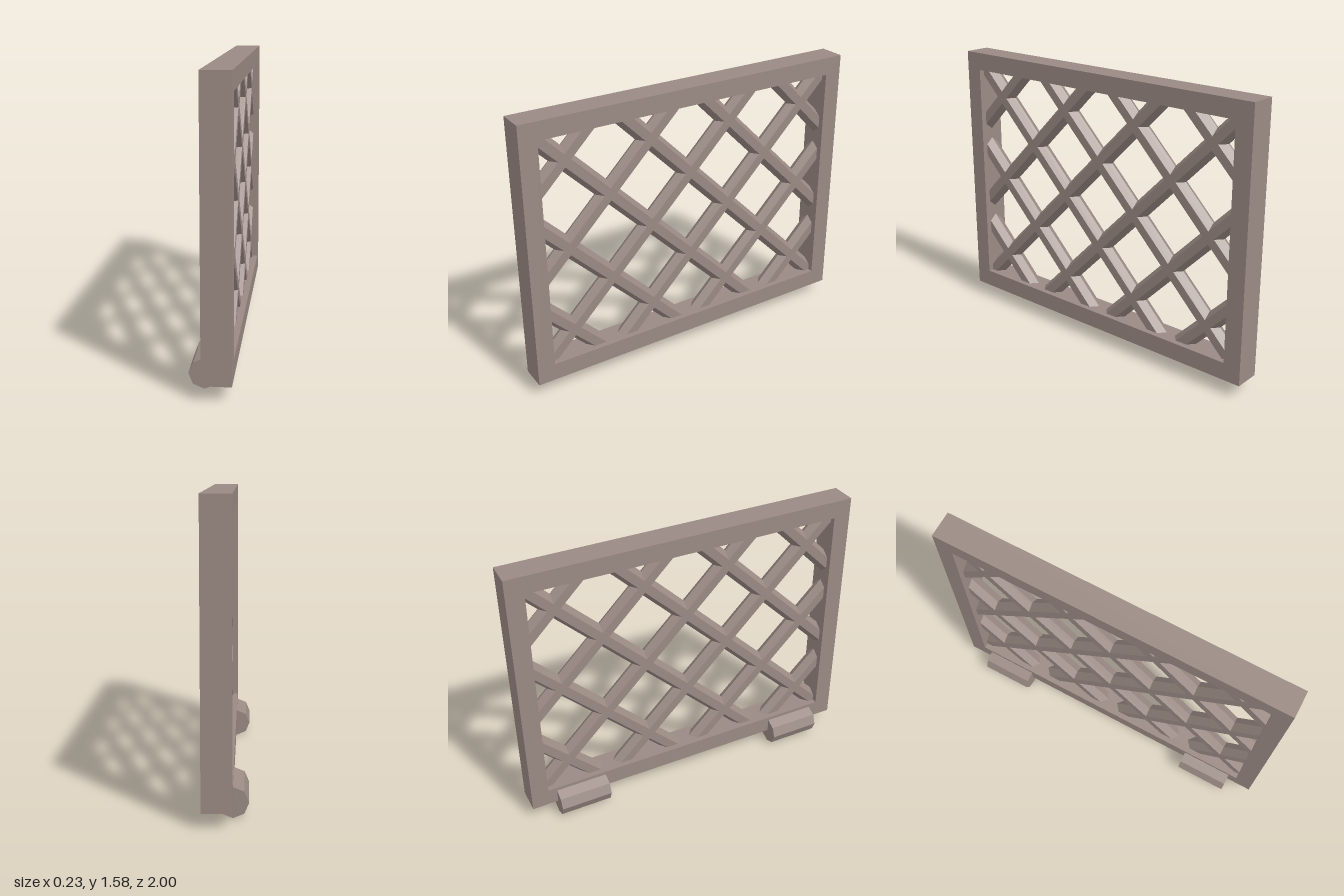
import * as THREE from 'three';

const CX = 0.04;                       // middle of the frame's thickness
const BOTTOM = 0.08, TOP = 1.58, THICK = 0.15, BORDER = 0.1;

function rectangle(path, w, y0, y1) {
  path.moveTo(-w, y0);
  path.lineTo(w, y0);
  path.lineTo(w, y1);
  path.lineTo(-w, y1);
  path.closePath();
  return path;
}

export function createModel() {
  const group = new THREE.Group();
  const material = new THREE.MeshStandardMaterial({ color: 0x9a8a84, flatShading: true });
  const add = (name, geometry) => {
    const mesh = new THREE.Mesh(geometry, material);
    mesh.name = name;
    group.add(mesh);
    return mesh;
  };

  // Rectangular frame with one large opening
  const outline = rectangle(new THREE.Shape(), 1, BOTTOM, TOP);
  outline.holes.push(rectangle(new THREE.Path(), 1 - BORDER, BOTTOM + BORDER, TOP - BORDER));
  const frame = new THREE.ExtrudeGeometry(outline, { depth: THICK, bevelEnabled: false });
  frame.translate(0, 0, -THICK / 2).rotateY(Math.PI / 2);
  add('frame', frame).position.x = CX;

  // Diagonal lattice of hexagonal bars, ends sunk halfway into the frame
  const zMax = 0.95, yMin = BOTTOM + 0.05, yMax = TOP - 0.05;
  for (const side of [1, -1]) {
    for (let k = -1; k <= 4; k++) {
      const c = 0.08 + 0.5 * k;        // bar follows y = c + z, mirrored by side
      const z0 = Math.max(-zMax, yMin - c);
      const z1 = Math.min(zMax, yMax - c);
      const bar = add('latticeBar', new THREE.CylinderGeometry(0.05, 0.05, (z1 - z0) * Math.SQRT2, 6));
      bar.position.set(CX, c + (z0 + z1) / 2, side * (z0 + z1) / 2);
      bar.rotation.x = side * Math.PI / 4;
    }
  }

  // Octagonal hinge barrels along the lower back edge
  for (const side of [1, -1]) {
    const hinge = add('hinge', new THREE.CylinderGeometry(0.08, 0.08, 0.3, 8));
    hinge.position.set(CX - THICK / 2, BOTTOM, side * 0.7);
    hinge.rotation.x = Math.PI / 2;
  }
  return group;
}
